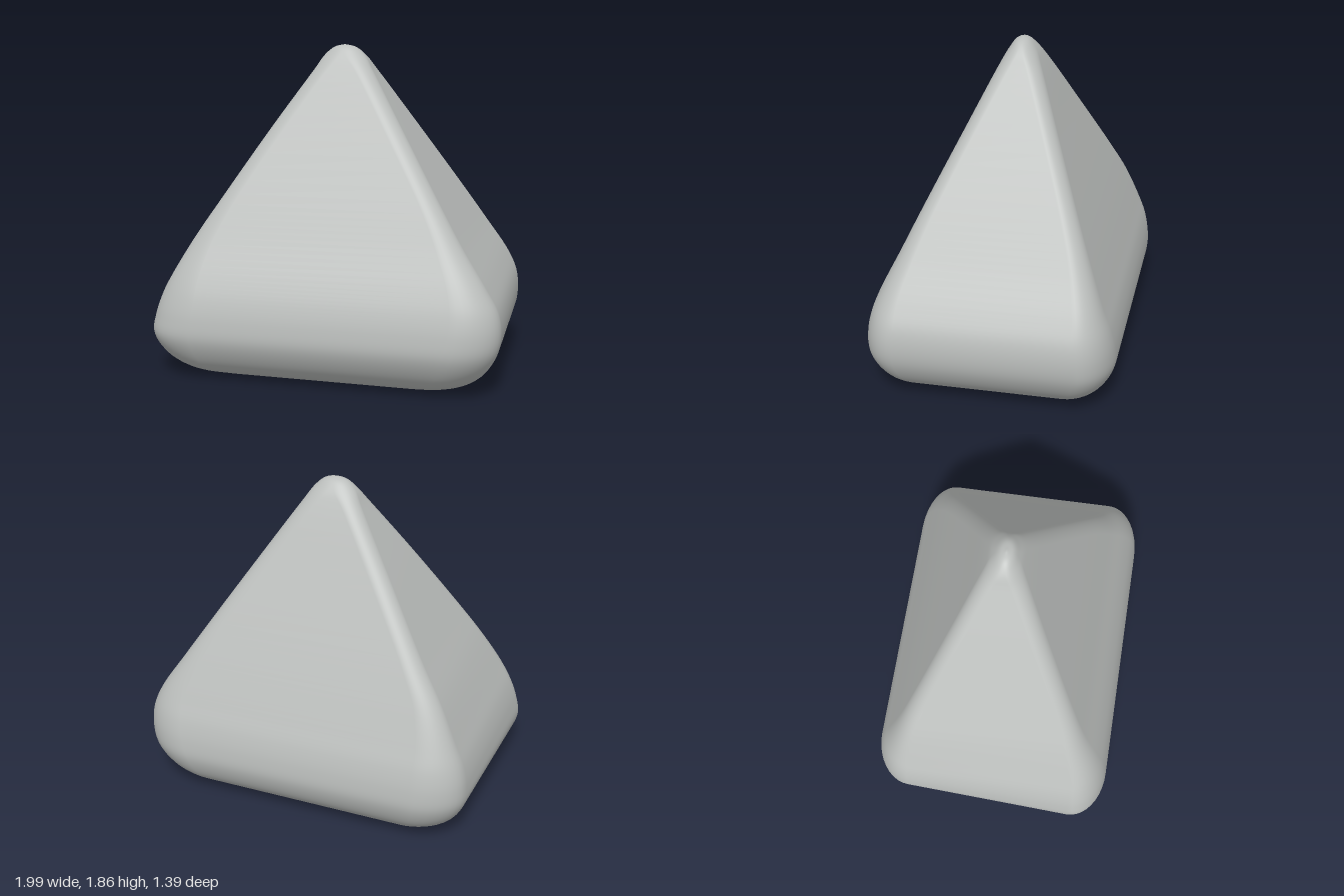
import * as THREE from 'three';

// Level: [y, xFrontLeft(+), xBackLeft(+), xBackRight(-), xFrontRight(-), zFront, zBack, roundX, roundZ]
const LEVELS = [
  [0.00, 0.64, 0.62, -0.66, -0.68, 0.45, -0.43, 0.14, 0.12],
  [0.05, 0.81, 0.78, -0.80, -0.84, 0.56, -0.56, 0.20, 0.16],
  [0.13, 0.91, 0.87, -0.89, -0.94, 0.635, -0.64, 0.25, 0.18],
  [0.25, 0.98, 0.94, -0.95, -1.00, 0.69, -0.69, 0.28, 0.20],
  [0.36, 1.00, 0.96, -0.96, -0.98, 0.69, -0.69, 0.27, 0.20],
  [0.48, 0.98, 0.95, -0.94, -0.935, 0.665, -0.665, 0.24, 0.18],
  [0.60, 0.91, 0.90, -0.89, -0.87, 0.62, -0.62, 0.19, 0.14],
  [0.80, 0.77, 0.77, -0.79, -0.755, 0.525, -0.54, 0.13, 0.10],
  [1.00, 0.64, 0.64, -0.655, -0.63, 0.433, -0.456, 0.10, 0.08],
  [1.40, 0.38, 0.38, -0.39, -0.38, 0.245, -0.283, 0.09, 0.07],
  [1.72, 0.17, 0.17, -0.175, -0.17, 0.093, -0.143, 0.09, 0.07],
  [1.80, 0.115, 0.115, -0.12, -0.12, 0.05, -0.10, 0.10, 0.065],
  [1.845, 0.06, 0.06, -0.065, -0.065, 0.015, -0.06, 0.06, 0.037],
];
const ARC = 10;   // segments per rounded corner
const STEPS = 72; // segments from base to tip

// Rounded four-cornered outline, counterclockwise seen from above
function outline([y, xFL, xBL, xBR, xFR, zF, zB, rx, rz]) {
  const c = [[xFL, zF], [xBL, zB], [xBR, zB], [xFR, zF]].map(([x, z]) => new THREE.Vector3(x, y, z));
  const points = [];
  c.forEach((corner, i) => {
    const inRadius = i % 2 ? rz : rx, outRadius = i % 2 ? rx : rz;
    const a = c[(i + 3) % 4].clone().sub(corner).setLength(inRadius);
    const b = c[(i + 1) % 4].clone().sub(corner).setLength(outRadius);
    for (let k = 0; k <= ARC; k++) {
      const t = (k / ARC) * Math.PI / 2;
      points.push(corner.clone().addScaledVector(a, 1 - Math.sin(t)).addScaledVector(b, 1 - Math.cos(t)));
    }
  });
  return points;
}

function stoneGeometry() {
  const rings = LEVELS.map(outline);
  const n = rings[0].length;
  const tip = new THREE.Vector3(-0.005, 1.86, -0.022);
  const position = [], index = [];

  // One smooth rising curve per outline point
  const columns = rings[0].map((_, j) => new THREE.CatmullRomCurve3([...rings.map((r) => r[j]), tip]));
  for (let i = 0; i < STEPS; i++) {
    for (const column of columns) {
      const p = column.getPoint(i / STEPS);
      position.push(p.x, Math.max(0, p.y), p.z);
    }
  }
  const tipIndex = STEPS * n, baseIndex = tipIndex + 1;
  position.push(tip.x, tip.y, tip.z, 0, 0, 0);

  for (let j = 0; j < n; j++) {
    const k = (j + 1) % n;
    for (let i = 0; i < STEPS - 1; i++) {
      const a = i * n + j, b = i * n + k;
      index.push(a, b, b + n, a, b + n, a + n);
    }
    const top = (STEPS - 1) * n;
    index.push(top + j, top + k, tipIndex); // rounded tip
    index.push(k, j, baseIndex);            // flat underside
  }

  const geometry = new THREE.BufferGeometry();
  geometry.setAttribute('position', new THREE.Float32BufferAttribute(position, 3));
  geometry.setIndex(index);
  geometry.computeVertexNormals();
  return geometry;
}

export function createModel() {
  const group = new THREE.Group();
  group.name = 'roundedPyramidStone';
  const stoneGrey = new THREE.MeshStandardMaterial({ color: 0xbcbfbd });
  stoneGrey.name = 'stoneGrey';
  const stone = new THREE.Mesh(stoneGeometry(), stoneGrey);
  stone.name = 'stone';
  group.add(stone);
  return group;
}
